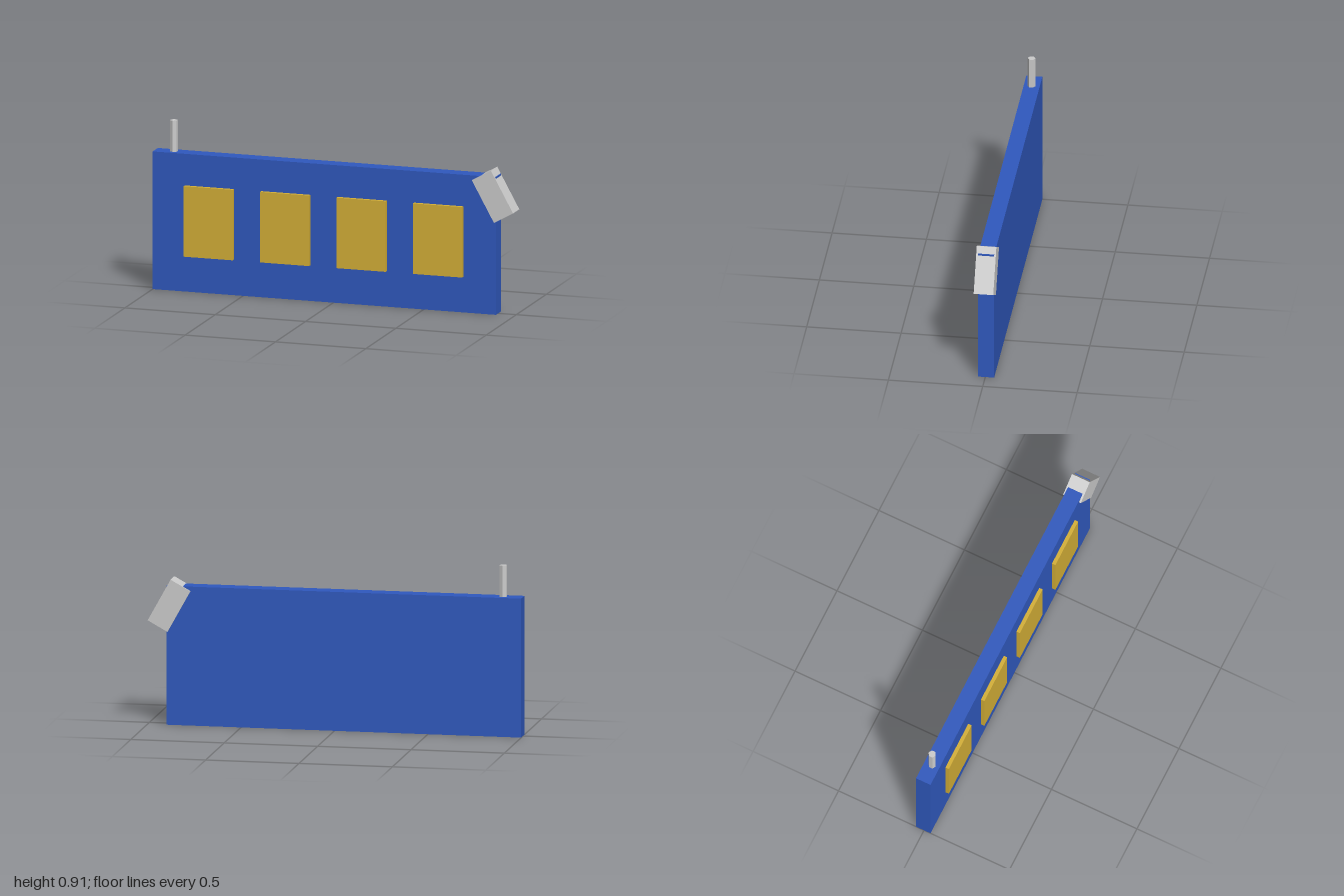
import * as THREE from 'three';

export function createModel() {
  const model = new THREE.Group();
  const blue = new THREE.MeshStandardMaterial({ color: 0x3059be });
  const gold = new THREE.MeshStandardMaterial({ color: 0xd4af37 });
  const grey = new THREE.MeshStandardMaterial({ color: 0xcccccc, flatShading: true });

  const add = (name, geometry, material, x, y, z) => {
    const mesh = new THREE.Mesh(geometry, material);
    mesh.name = name;
    mesh.position.set(x, y, z);
    model.add(mesh);
    return mesh;
  };

  // Flat slab body
  add('body', new THREE.BoxGeometry(1.9, 0.742, 0.085), blue, -0.05, 0.371, -0.0045);

  // Row of four raised panels, sunk slightly into the front face
  for (let i = 0; i < 4; i++) {
    add(`panel${i + 1}`, new THREE.BoxGeometry(0.272, 0.38, 0.03), gold,
      -0.686 + i * 0.423, 0.382, 0.043);
  }

  // Tilted block wrapped around the upper corner
  const block = add('cornerBlock', new THREE.BoxGeometry(0.121, 0.253, 0.104), grey, 0.884, 0.637, -0.0035);
  block.rotation.z = THREE.MathUtils.degToRad(29);

  // Six-sided rod on the top edge
  add('rod', new THREE.CylinderGeometry(0.0205, 0.0205, 0.19, 6), grey, -0.896, 0.815, -0.0035);

  return model;
}
